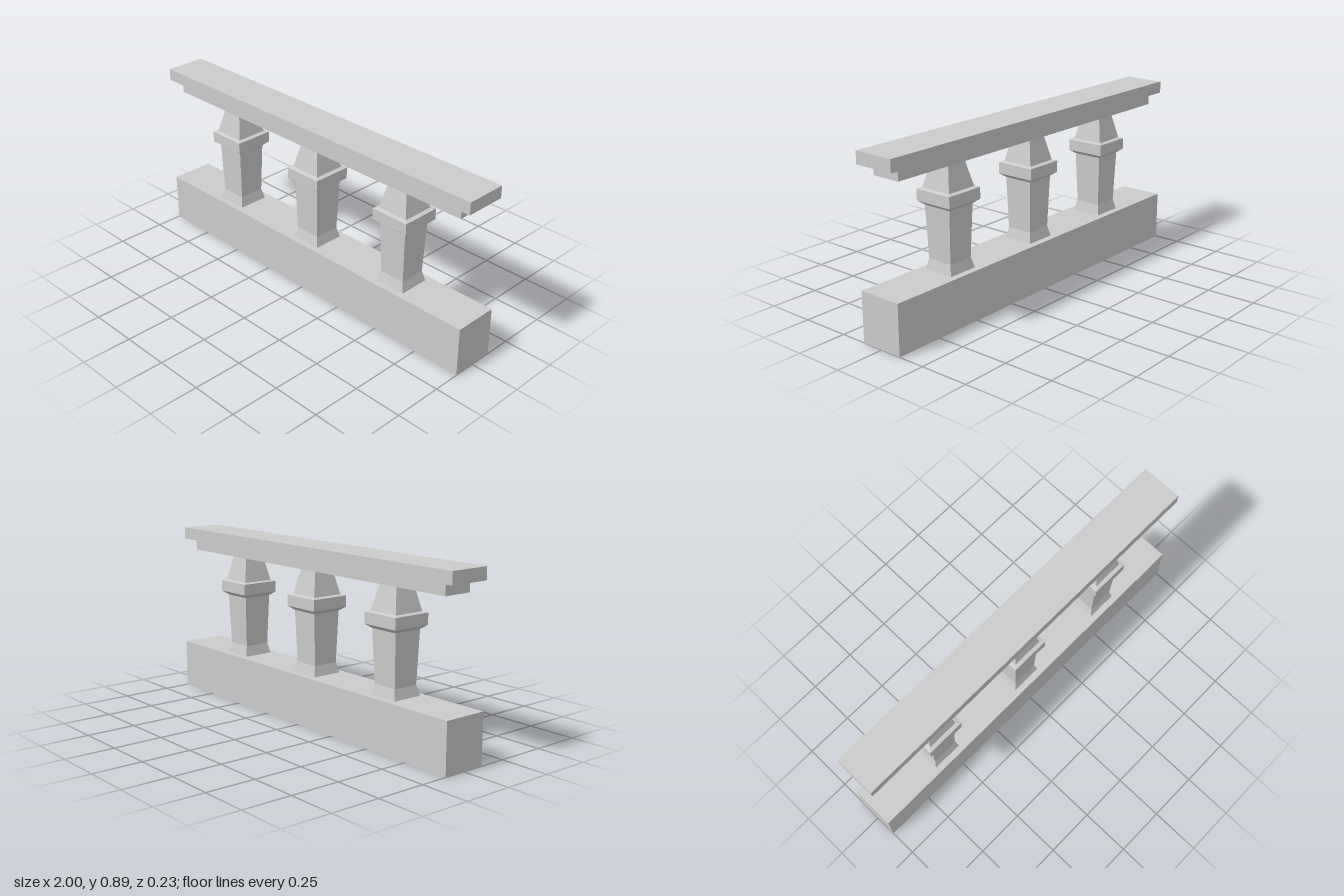
import * as THREE from 'three';

const material = new THREE.MeshStandardMaterial({ color: 0xcccccc, flatShading: true });

// Box given by its width, depth, bottom and top heights
function slab(name, width, depth, y0, y1, x = 0, z = 0) {
  const mesh = new THREE.Mesh(new THREE.BoxGeometry(width, y1 - y0, depth), material);
  mesh.name = name;
  mesh.position.set(x, (y0 + y1) / 2, z);
  return mesh;
}

// Square baluster profile: [half width, height]
const balusterProfile = [
  [0.08, 0.25],    // flared foot
  [0.067, 0.302],
  [0.076, 0.561],  // tapering shaft
  [0.101, 0.581],  // collar
  [0.101, 0.637],
  [0.082, 0.643],
  [0.053, 0.768],  // neck under the rail
];

export function createModel() {
  const group = new THREE.Group();
  group.name = 'balustrade';

  group.add(slab('base', 2, 0.226, 0, 0.25));
  group.add(slab('lowerRail', 1.867, 0.148, 0.768, 0.825, -0.001, 0.001));
  group.add(slab('topRail', 2, 0.21, 0.825, 0.886, 0, 0.001));

  // Four-sided lathe turned so that its flat faces look along x and z
  const points = balusterProfile.map(([w, y]) => new THREE.Vector2(w * Math.SQRT2, y));
  const balusterGeometry = new THREE.LatheGeometry(points, 4, Math.PI / 4);
  for (let i = -1; i <= 1; i++) {
    const baluster = new THREE.Mesh(balusterGeometry, material);
    baluster.name = 'baluster';
    baluster.position.set(-0.004 + i * 0.561, 0, 0.001);
    group.add(baluster);
  }
  return group;
}
